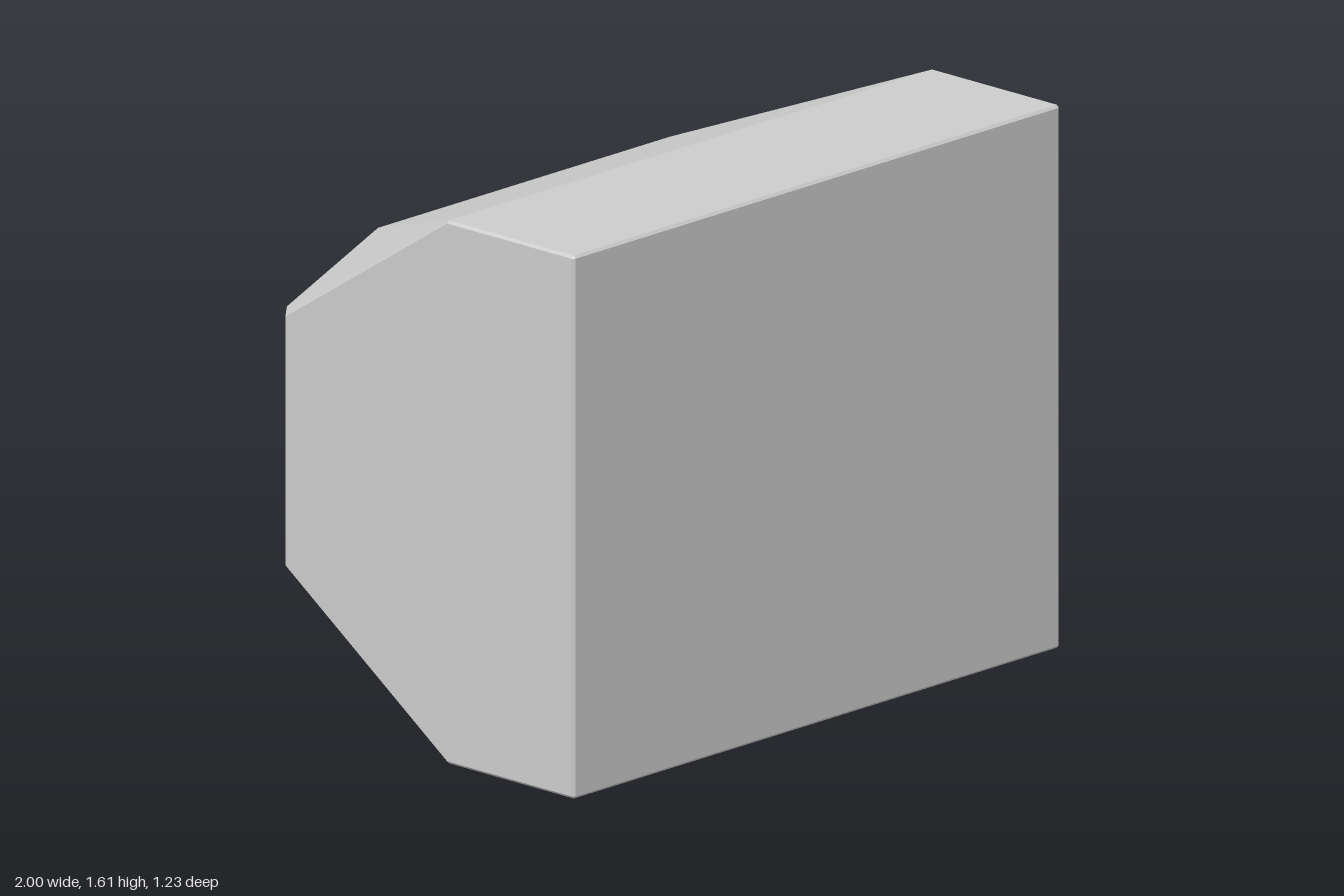
import * as THREE from 'three';
import { ConvexGeometry } from 'three/addons/geometries/ConvexGeometry.js';

export function createModel() {
  const group = new THREE.Group();
  const mid = 0.805; // height of the horizontal mirror plane
  const b = 0.008; // small edge bevel

  // One quarter of the corners: x and height from the middle, then z
  const corners = [
    // front face and its bevel
    [1 - b, mid - b, 0.615],
    [1, mid - b, 0.615 - b],
    [1 - b, mid, 0.615 - b],
    // end of the straight block
    [1, mid - b, 0.12],
    [1 - b, mid, 0.12],
    // ridge of the tapered back
    [0.6, 0.555, -0.53],
    // back face and its side chamfer
    [0.885, 0.368, -0.615],
    [0.96, 0.368, -0.55],
  ];

  // Mirror left to right and top to bottom
  const points = [];
  for (const sx of [1, -1])
    for (const sy of [1, -1])
      for (const [x, y, z] of corners) points.push(new THREE.Vector3(sx * x, mid + sy * y, z));

  const body = new THREE.Mesh(
    new ConvexGeometry(points),
    new THREE.MeshStandardMaterial({ color: 0xcccccc, flatShading: true })
  );
  body.name = 'facetedBody';
  group.add(body);
  return group;
}
